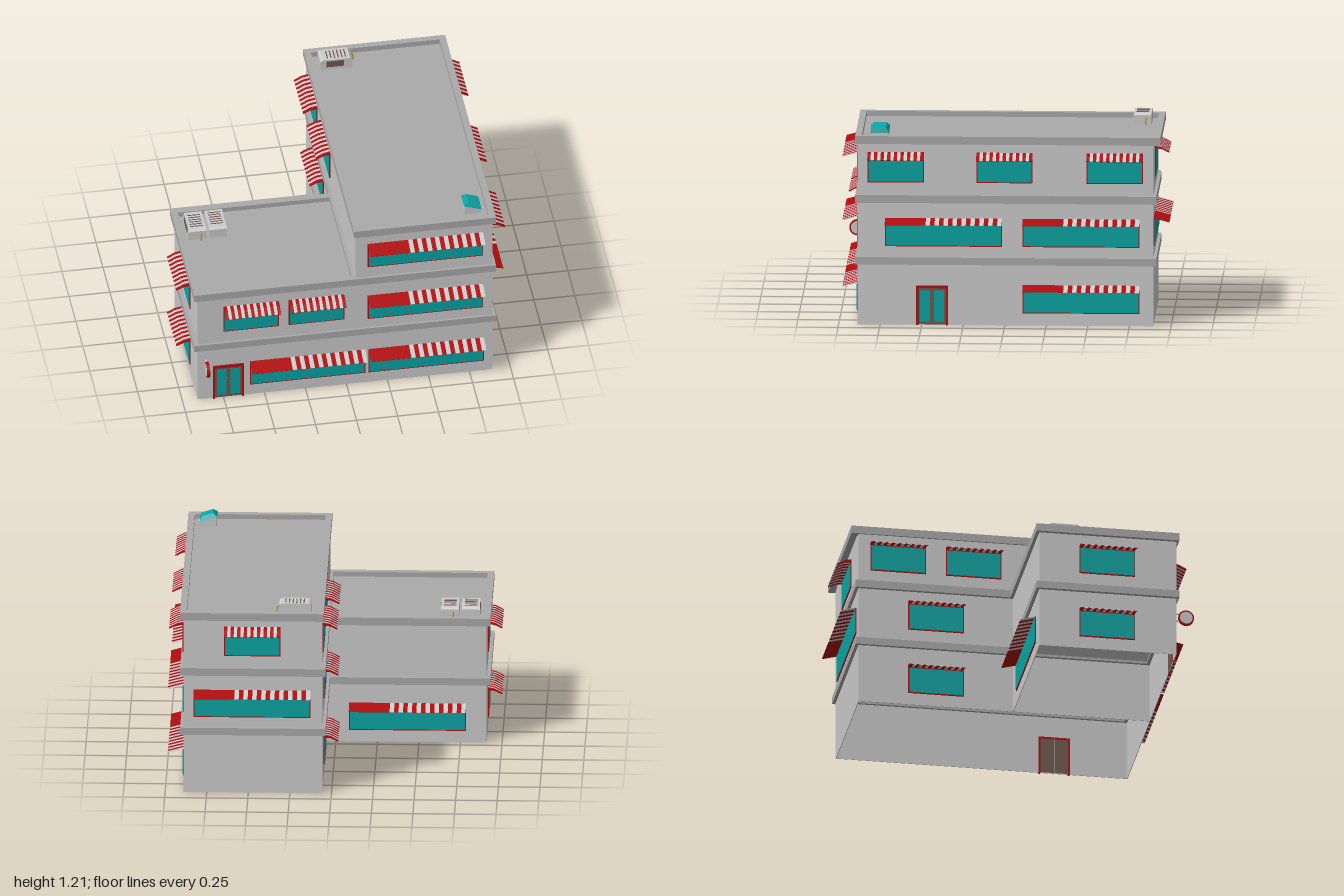
import * as THREE from 'three';
import { mergeGeometries } from 'three/addons/utils/BufferGeometryUtils.js';

const mat = (color) => new THREE.MeshStandardMaterial({ color, flatShading: true, side: THREE.DoubleSide });

export function createModel() {
  const root = new THREE.Group();
  const grey = mat(0xcccccc), trim = mat(0xaaaaaa), red = mat(0xb00c10), teal = mat(0x0aa5a3), brown = mat(0x705a50), gold = mat(0xb8a030);

  const add = (parent, name, geo, material) => {
    const m = new THREE.Mesh(geo, material);
    m.name = name;
    parent.add(m);
    return m;
  };
  // Box given by its limits on each axis
  const boxGeo = (x0, x1, y0, y1, z0, z1) =>
    new THREE.BoxGeometry(x1 - x0, y1 - y0, z1 - z0).translate((x0 + x1) / 2, (y0 + y1) / 2, (z0 + z1) / 2);
  const rectPoints = (x0, x1, z0, z1) =>
    [[x0, -z0], [x1, -z0], [x1, -z1], [x0, -z1]].map(([x, y]) => new THREE.Vector2(x, y));
  // Hollow rectangle of the given wall thickness, raised from y0 to y1
  const ringGeo = ([x0, x1, z0, z1], t, y0, y1) => {
    const s = new THREE.Shape(rectPoints(x0, x1, z0, z1));
    s.holes.push(new THREE.Path(rectPoints(x0 + t, x1 - t, z0 + t, z1 - t)));
    return new THREE.ExtrudeGeometry(s, { depth: y1 - y0, bevelEnabled: false }).rotateX(-Math.PI / 2).translate(0, y0, 0);
  };

  // Two blocks: open-bottomed ground floor, solid upper floors
  const tall = [0.055, 0.89, -0.893, 0.885], low = [-0.907, 0.059, 0.05, 0.885];
  for (const [name, r, top] of [['tallBlock', tall, 1.125], ['lowWing', low, 0.765]]) {
    add(root, name + 'GroundWalls', ringGeo(r, 0.004, 0, 0.385), grey);
    add(root, name + 'UpperWalls', boxGeo(r[0], r[1], 0.385, top - 0.002, r[2], r[3]), grey);
    add(root, name + 'Roof', boxGeo(r[0], r[1], top - 0.002, top, r[2], r[3]), trim);
  }
  // Ledges between floors and roof parapets
  const tallBand = [0.035, 0.91, -0.912, 0.9], lowBand = [-0.93, 0.085, 0.03, 0.9];
  for (const [y0, y1] of [[0.37, 0.415], [0.747, 0.795]]) {
    add(root, 'tallBlockLedge', ringGeo(tallBand, 0.04, y0, y1), trim);
    add(root, 'lowWingLedge', ringGeo(lowBand, 0.04, y0, y1), trim);
  }
  add(root, 'tallBlockParapet', ringGeo([0.045, 0.91, -0.937, 0.9], 0.04, 1.107, 1.155), trim);

  // Wall frames: local x runs rightward as seen from outside, local z points outward
  const wall = (name, x, z, turn) => {
    const g = new THREE.Group();
    g.name = name;
    g.position.set(x, 0, z);
    g.rotation.y = turn * Math.PI / 2;
    root.add(g);
    return g;
  };
  const front = wall('frontWall', 0, 0.885, 0), side = wall('leftWall', 0.89, 0, 1);
  const back = wall('backWall', 0, -0.893, 2), wingBack = wall('wingBackWall', 0, 0.05, 2);
  const court = wall('courtWall', 0.055, 0, -1), wingSide = wall('rightWall', -0.907, 0, -1);

  // Slice of awning: side profile swept along the wall
  const sliceGeo = (profile, u0, u1) => {
    const s = new THREE.Shape(profile.map(([x, y]) => new THREE.Vector2(x, y)));
    return new THREE.ExtrudeGeometry(s, { depth: u1 - u0, bevelEnabled: false }).rotateY(-Math.PI / 2).translate(u1, 0, 0);
  };
  const awning = (parent, profile, u0, u1, top, solid, pairs) => {
    const reds = [], greys = [];
    const start = u0 + (u1 - u0) * solid;
    if (solid) reds.push(sliceGeo(profile, u0, start));
    const n = pairs * 2 + 1, w = (u1 - start) / n;
    for (let i = 0; i < n; i++)
      ((i + (solid ? 1 : 0)) % 2 ? greys : reds).push(sliceGeo(profile, start + i * w, start + (i + 1) * w));
    for (const [name, list, m] of [['awningRedStripes', reds, red], ['awningGreyStripes', greys, grey]])
      add(parent, name, mergeGeometries(list), m).position.y = top;
  };
  const wideProfile = [[0, 0], [0.095, -0.026], [0.095, -0.028], [0, -0.003]];
  const smallProfile = [[0, 0], [0.04, -0.008], [0.088, -0.034], [0.086, -0.038], [0.04, -0.016], [0, -0.012]];

  const pane = (parent, u0, u1, y0, y1) => {
    add(parent, 'windowFrame', boxGeo(u0, u1, y0, y1, 0, 0.006), red);
    add(parent, 'windowGlass', boxGeo(u0 + 0.006, u1 - 0.006, y0 + 0.006, y1 - 0.006, 0, 0.008), teal);
  };
  const wideWindow = (parent, u0, y0) => {
    pane(parent, u0, u0 + 0.703, y0, y0 + 0.17);
    awning(parent, wideProfile, u0, u0 + 0.703, y0 + 0.172, 0.35, 8);
  };
  const smallWindow = (parent, u0, y0) => {
    pane(parent, u0, u0 + 0.338, y0, y0 + 0.17);
    awning(parent, smallProfile, u0, u0 + 0.338, y0 + 0.185, 0, 8);
  };
  const F1 = 0.075, F2 = 0.48, F3 = 0.87, S2 = 0.495;
  [[front, -0.588, F1], [front, 0.135, F1], [front, 0.13, F2], [front, 0.13, F3],
    [side, -0.72, F2], [side, 0.108, F2], [side, 0.108, F1],
    [back, -0.828, F2], [wingBack, 0.08, F1]].forEach((a) => wideWindow(...a));
  [[front, -0.75, S2], [front, -0.352, S2], [side, -0.825, F3], [side, -0.17, F3], [side, 0.493, F3],
    [back, -0.645, F3], [court, -0.82, F3], [court, -0.36, F3], [court, -0.59, S2], [court, -0.59, F1],
    [wingSide, 0.295, S2], [wingSide, 0.295, F1]].forEach((a) => smallWindow(...a));

  // Double doors
  const door = (parent, u) => {
    const g = new THREE.Group();
    g.name = 'doubleDoor';
    g.position.x = u;
    parent.add(g);
    add(g, 'doorFrame', mergeGeometries([boxGeo(-0.095, -0.083, 0, 0.24, -0.005, 0.012),
      boxGeo(0.083, 0.095, 0, 0.24, -0.005, 0.012), boxGeo(-0.095, 0.095, 0.226, 0.24, -0.005, 0.012)]), red);
    for (const s of [-1, 1]) {
      add(g, 'doorLeaf', boxGeo(-0.041, 0.041, 0.004, 0.226, -0.005, 0.005), brown).position.x = s * 0.042;
      add(g, 'doorGlass', boxGeo(-0.029, 0.029, 0.022, 0.21, 0, 0.007), teal).position.x = s * 0.042;
      add(g, 'doorHandle', boxGeo(-0.004, 0.004, 0.09, 0.145, 0.004, 0.013), brown).position.x = s * 0.008;
    }
  };
  door(front, -0.72);
  door(side, -0.4375);

  // Round hanging sign with two bracket arms
  const sign = new THREE.Group();
  sign.name = 'hangingSign';
  sign.position.set(-0.858, 0.268, 0.952);
  root.add(sign);
  add(sign, 'signRim', new THREE.CylinderGeometry(0.048, 0.048, 0.018, 20).rotateZ(Math.PI / 2), red);
  add(sign, 'signFace', new THREE.CylinderGeometry(0.039, 0.039, 0.02, 20).rotateZ(Math.PI / 2), grey);
  for (const y of [-0.022, 0.022])
    add(sign, 'signArm', boxGeo(-0.004, 0.004, y - 0.004, y + 0.004, -0.07, -0.035), grey);

  // Rooftop air conditioners: chamfered case, slotted top, grille and pipe
  const airUnit = (x, y, z, turn) => {
    const g = new THREE.Group();
    g.name = 'airConditioner';
    g.position.set(x, y, z);
    g.rotation.y = turn;
    root.add(g);
    const s = new THREE.Shape([[-0.097, 0], [0.097, 0], [0.097, 0.058], [0.083, 0.07], [-0.083, 0.07], [-0.097, 0.058]]
      .map(([a, b]) => new THREE.Vector2(a, b)));
    add(g, 'unitCase', new THREE.ExtrudeGeometry(s, { depth: 0.108, bevelEnabled: false }).translate(0, 0, -0.054), grey);
    const slots = [];
    for (let i = 0; i < 6; i++) slots.push(boxGeo(-0.055 + i * 0.022, -0.048 + i * 0.022, 0.06, 0.0715, -0.038, 0.038));
    add(g, 'topSlots', mergeGeometries(slots), brown);
    add(g, 'frontGrille', boxGeo(-0.062, 0.045, 0.018, 0.06, 0.05, 0.056), brown);
    const path = new THREE.CatmullRomCurve3([[0.095, 0.042, -0.02], [0.108, 0.04, -0.02], [0.112, 0.025, -0.02], [0.112, 0, -0.02]]
      .map((p) => new THREE.Vector3(...p)));
    add(g, 'unitPipe', new THREE.TubeGeometry(path, 8, 0.005, 6), gold);
  };
  airUnit(0.217, 1.125, -0.808, 0);
  airUnit(-0.81, 0.765, 0.212, -Math.PI / 2);
  airUnit(-0.685, 0.765, 0.212, Math.PI / 2);

  // Skylight: wedge base with a tilted glass cap
  const wedge = new THREE.Shape([[0.735, 1.12], [0.838, 1.12], [0.838, 1.16], [0.735, 1.192]].map(([a, b]) => new THREE.Vector2(a, b)));
  add(root, 'skylightBase', new THREE.ExtrudeGeometry(wedge, { depth: 0.1, bevelEnabled: false }).translate(0, 0, 0.703), grey);
  const cap = add(root, 'skylightGlass',
    new THREE.CylinderGeometry(0.052, 0.08, 0.028, 4).rotateY(Math.PI / 4), teal);
  cap.position.set(0.788, 1.188, 0.753);
  cap.rotation.z = -0.31;
  return root;
}
